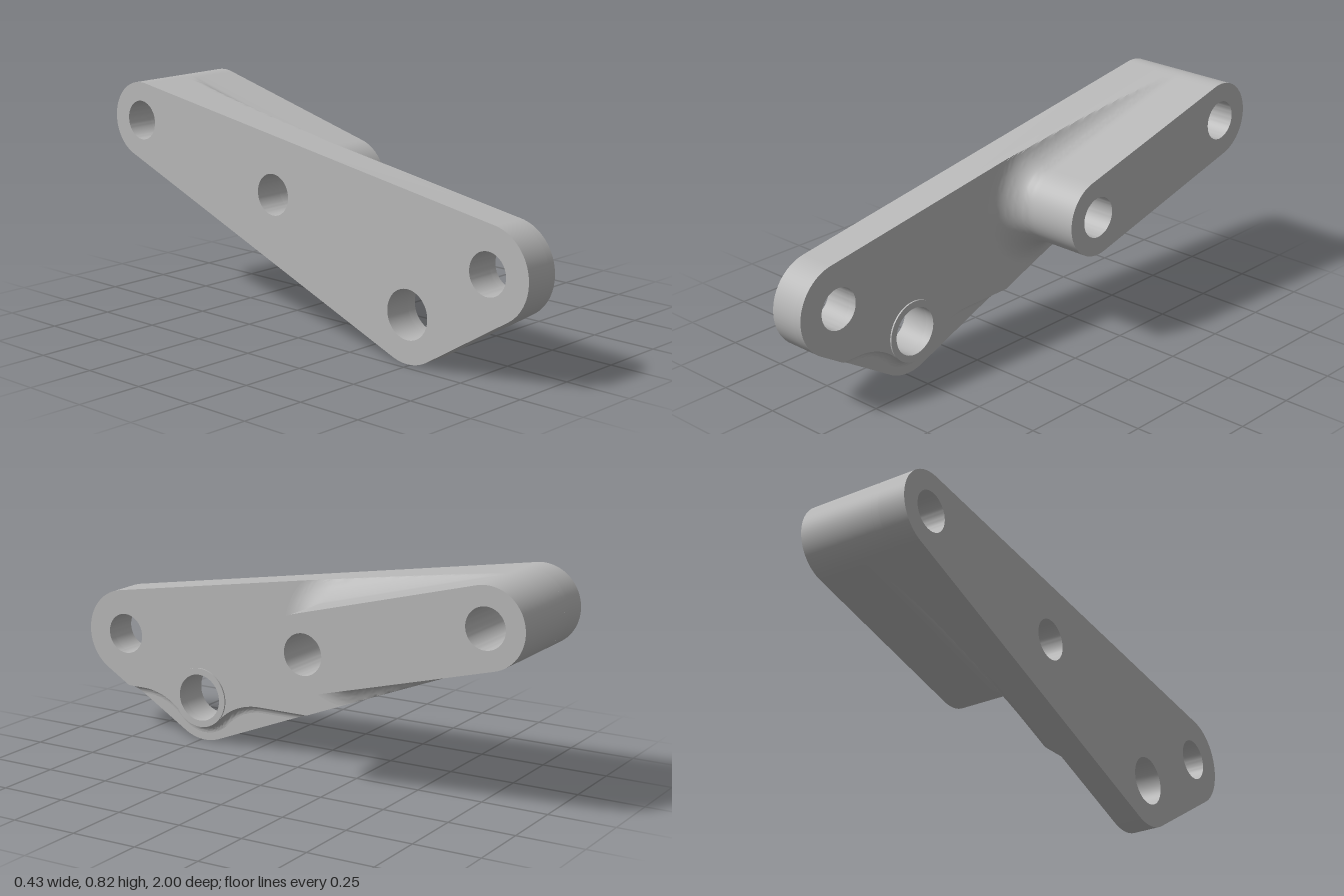
import * as THREE from 'three';
import { toCreasedNormals } from 'three/addons/utils/BufferGeometryUtils.js';

// Profiles are drawn in a side plane (u = -z, v = y) and stacked along w = x.
const FRONT = { u: -0.83, v: 0.38, r: 0.17, hole: 0.077 };
const LOWER = { u: -0.485, v: 0.175, r: 0.175, hole: 0.09 };
const REAR = { u: 0.855, v: 0.675, r: 0.145, hole: 0.074 };
const MIDDLE = { u: 0.155, v: 0.493, r: 0.145, hole: 0.076 };
const BACK = -0.217, FLOOR = -0.11, FACE = -0.08, ARM_END = 0.217;
const FILLET = 0.115, POCKET = 0.03, BOSS = 0.115;

const arc = (u, v, r, a0, a1, n) => Array.from({ length: n + 1 }, (_, i) => {
  const a = a0 + (a1 - a0) * i / n;
  return [u + r * Math.cos(a), v + r * Math.sin(a), Math.cos(a), Math.sin(a)];
});
const circle = (c, r, n = 64) => arc(c.u, c.v, r, 0, Math.PI * 2, n).slice(0, n);

// Belt around circles listed counter-clockwise; each point is [u, v, normalU, normalV]
function belt(circles, edgeSteps = 1) {
  const n = circles.length;
  const edgeAngle = circles.map((c, i) => {
    const d = circles[(i + 1) % n], du = d.u - c.u, dv = d.v - c.v;
    return Math.atan2(dv, du) - Math.acos((c.r - d.r) / Math.hypot(du, dv));
  });
  const arcs = circles.map((c, i) => {
    const a0 = edgeAngle[(i + n - 1) % n];
    let a1 = edgeAngle[i];
    while (a1 < a0) a1 += Math.PI * 2;
    return arc(c.u, c.v, c.r, a0, a1, 32);
  });
  const points = [];
  arcs.forEach((list, i) => {
    points.push(...list);
    const p = list[list.length - 1], q = arcs[(i + 1) % n][0];
    for (let k = 1; k < edgeSteps; k++) {
      const t = k / edgeSteps;
      points.push([p[0] + (q[0] - p[0]) * t, p[1] + (q[1] - p[1]) * t, p[2], p[3]]);
    }
  });
  return points;
}

const outline = belt([REAR, FRONT, LOWER]);

// Distance from (u, v) along (du, dv) to the plate outline
function exitDistance(u, v, du, dv) {
  let best = Infinity;
  for (const [pu, pv, nu, nv] of outline) {
    const along = nu * du + nv * dv;
    if (along > 1e-6) best = Math.min(best, (nu * (pu - u) + nv * (pv - v)) / along);
  }
  return Math.max(0, best);
}

// Closed solid from stacked rings with equal point counts, plus straight through holes
function solid(rings, holes) {
  const pos = [];
  const tri = (...corners) => corners.forEach(([p, w]) => pos.push(p[0], p[1], w));
  const wall = (a, wa, b, wb) => a.forEach((p, i) => {
    const j = (i + 1) % a.length;
    tri([p, wa], [a[j], wa], [b[j], wb]);
    tri([p, wa], [b[j], wb], [b[i], wb]);
  });
  for (let k = 0; k + 1 < rings.length; k++) {
    wall(rings[k].points, rings[k].w, rings[k + 1].points, rings[k + 1].w);
  }
  const first = rings[0], last = rings[rings.length - 1];
  const bores = holes.map((c) => circle(c, c.hole).reverse());
  bores.forEach((b) => wall(b, first.w, b, last.w));
  for (const ring of [first, last]) {
    const toVec = (list) => list.map((p) => new THREE.Vector2(p[0], p[1]));
    const all = [ring.points, ...bores].flat();
    for (const [a, b, c] of THREE.ShapeUtils.triangulateShape(toVec(ring.points), bores.map(toVec))) {
      const order = ring === last ? [a, b, c] : [a, c, b];
      tri(...order.map((i) => [all[i], ring.w]));
    }
  }
  const geometry = new THREE.BufferGeometry();
  geometry.setAttribute('position', new THREE.Float32BufferAttribute(pos, 3));
  return toCreasedNormals(geometry, 0.45);
}

// Lower edge of the raised face: flat, sweeping under the boss, flat; offset outward by e
function pocketEdge(e) {
  const run = 0.265, sweep = (run * run - BOSS * BOSS) / (2 * BOSS);
  const angle = Math.atan2(sweep, run), v = LOWER.v - e, cv = LOWER.v - sweep;
  const { u } = LOWER;
  return [
    [u - exitDistance(u, v, -1, 0), v],
    ...arc(u - run, cv, sweep - e, Math.PI / 2, angle, 16),
    ...arc(u, LOWER.v, BOSS + e, Math.PI + angle, Math.PI * 2 - angle, 24).slice(1, -1),
    ...arc(u + run, cv, sweep - e, Math.PI - angle, Math.PI / 2, 16),
    [u + exitDistance(u, v, 1, 0), v],
  ];
}

export function createModel() {
  const model = new THREE.Group();
  model.name = 'bracket';
  const body = new THREE.Group();
  body.name = 'bracketBody';
  body.rotation.y = Math.PI / 2;
  model.add(body);
  const metal = new THREE.MeshStandardMaterial({ color: 0xb8b8b8 });
  metal.name = 'grey metal';
  const add = (name, rings, holes) => {
    const mesh = new THREE.Mesh(solid(rings, holes), metal);
    mesh.name = name;
    body.add(mesh);
  };
  const allHoles = [FRONT, LOWER, REAR, MIDDLE];

  // Full-outline back layer
  add('backPlate', [{ w: BACK, points: outline }, { w: FLOOR, points: outline }], allHoles);

  // Raised front layer with a filleted pocket along its lower edge
  const upper = outline.filter((p) => p[1] > LOWER.v);
  const faceRings = [];
  for (let k = 0; k <= 10; k++) {
    const a = (k / 10) * Math.PI / 2;
    const e = POCKET * (1 - Math.sin(a));
    faceRings.push({ w: FACE - POCKET * Math.cos(a), points: [...upper, ...pocketEdge(e)] });
  }
  add('frontPlate', faceRings, allHoles);

  // Thin raised ring around the lower hole
  const ring = circle(LOWER, BOSS);
  add('bossRing', [{ w: FACE, points: ring }, { w: FACE + 0.006, points: ring }], [LOWER]);

  // Offset arm whose root fillet is trimmed by the plate outline
  const armOutline = belt([MIDDLE, REAR], 60);
  const reach = armOutline.map((p) => exitDistance(...p));
  const armRings = [];
  for (let k = 0; k <= 20; k++) {
    const a = (k / 20) * Math.PI / 2;
    const flare = FILLET * (1 - Math.sin(a));
    armRings.push({
      w: FACE + FILLET * (1 - Math.cos(a)),
      points: armOutline.map(([u, v, nu, nv], i) => {
        const d = Math.min(flare, reach[i]);
        return [u + nu * d, v + nv * d];
      }),
    });
  }
  armRings.push({ w: ARM_END, points: armOutline });
  add('arm', armRings, [MIDDLE, REAR]);

  return model;
}
